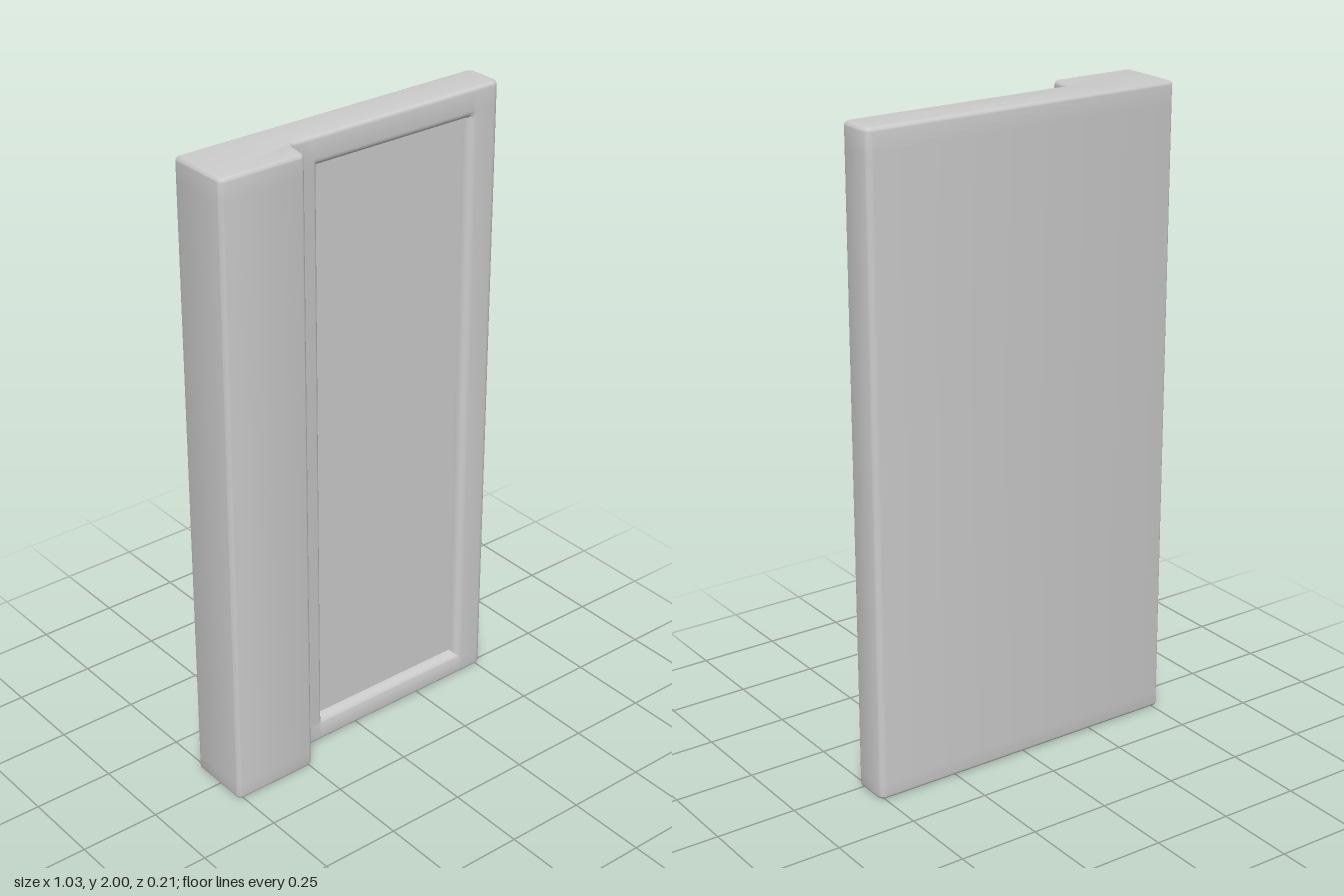
import * as THREE from 'three';
import { toCreasedNormals } from 'three/addons/utils/BufferGeometryUtils.js';

const HEIGHT = 2, EDGE = 0.012, ARC = 5;
// Plan of the body seen from above: x, z, corner radius
const PLAN = [
  [-0.517, -0.104, 0.013], [0.517, -0.104, 0.022], [0.517, 0.022, 0.022],
  [-0.228, 0.022, 0.02], [-0.241, 0.104, 0.02], [-0.517, 0.104, 0.016],
];
// Recessed panel: extent, and its rounded lip as [offset inward, depth]
const PANEL = { x0: -0.132, x1: 0.408, y0: 0.078, y1: 1.908 };
const LIP = [[-0.025, 0], [-0.018, 0.001], [-0.012, 0.004], [-0.006, 0.01], [-0.002, 0.018], [0, 0.034]];

// Depth of the recess at a point of the front face
function recess(x, y) {
  const d = Math.min(x - PANEL.x0, PANEL.x1 - x, y - PANEL.y0, PANEL.y1 - y) + 1e-7;
  let depth = 0;
  for (const [offset, value] of LIP) if (d >= offset) depth = value;
  return depth;
}

// Rounded plan outline, shrunk by an inset
function outline(inset) {
  const corners = PLAN.map(([x, z]) => new THREE.Vector2(x, z));
  const n = corners.length, points = [];
  corners.forEach((p, i) => {
    const d1 = p.clone().sub(corners[(i + n - 1) % n]).normalize();
    const d2 = corners[(i + 1) % n].clone().sub(p).normalize();
    const n1 = new THREE.Vector2(-d1.y, d1.x), n2 = new THREE.Vector2(-d2.y, d2.x);
    const c = p.clone().addScaledVector(n1.clone().add(n2), inset / (1 + n1.dot(n2)));
    const convex = d1.cross(d2) > 0;
    const r = Math.max(PLAN[i][2] + (convex ? -inset : inset), 0.001);
    const angle = Math.acos(d1.dot(d2)), t = r * Math.tan(angle / 2), w = Math.cos(angle / 2);
    const a = c.clone().addScaledVector(d1, -t), b = c.clone().addScaledVector(d2, t);
    for (let k = 0; k <= ARC; k++) {
      const u = k / ARC, ka = (1 - u) ** 2, kc = 2 * w * u * (1 - u), kb = u * u, s = ka + kc + kb;
      points.push({
        x: (a.x * ka + c.x * kc + b.x * kb) / s,
        z: (a.y * ka + c.y * kc + b.y * kb) / s,
      });
    }
    // Extra columns along the front face for the recess
    if (i === 2) {
      for (const [o] of LIP) points.push({ x: PANEL.x1 - o, z: c.y, front: true });
      for (const [o] of [...LIP].reverse()) points.push({ x: PANEL.x0 + o, z: c.y, front: true });
    }
  });
  return points;
}

function bodyGeometry() {
  // Levels: rounded bottom edge, panel lip, rounded top edge
  const levels = [];
  for (let k = 0; k <= 4; k++) {
    const a = (k / 4) * Math.PI / 2;
    levels.push([EDGE * (1 - Math.sin(a + 0)), EDGE * (1 - Math.cos(a))]);
  }
  const rounded = levels.map(([inset, y]) => [inset, y]);
  const rows = [
    ...rounded,
    ...LIP.map(([o]) => [0, PANEL.y0 + o]),
    ...[...LIP].reverse().map(([o]) => [0, PANEL.y1 - o]),
    ...[...rounded].reverse().map(([inset, y]) => [inset, HEIGHT - y]),
  ];
  const rings = rows.map(([inset, y]) => outline(inset).map((p) =>
    [p.x, y, p.front ? p.z - recess(p.x, y) : p.z]));
  const n = rings[0].length, index = [];
  for (let j = 0; j < rings.length - 1; j++) {
    for (let i = 0; i < n; i++) {
      const a = j * n + i, b = j * n + (i + 1) % n, c = b + n, d = a + n;
      index.push(a, d, c, a, c, b);
    }
  }
  // End caps
  const cap = rings[0].map(([x, , z]) => new THREE.Vector2(x, z));
  const top = (rings.length - 1) * n;
  for (const [a, b, c] of THREE.ShapeUtils.triangulateShape(cap, [])) {
    const down = cap[b].clone().sub(cap[a]).cross(cap[c].clone().sub(cap[a])) > 0;
    const [p, q] = down ? [b, c] : [c, b];
    index.push(a, p, q, top + a, top + q, top + p);
  }
  const geometry = new THREE.BufferGeometry();
  geometry.setAttribute('position', new THREE.Float32BufferAttribute(rings.flat(2), 3));
  geometry.setIndex(index);
  return toCreasedNormals(geometry, 0.7);
}

export function createModel() {
  const model = new THREE.Group();
  model.name = 'wallPanel';
  const body = new THREE.Mesh(bodyGeometry(), new THREE.MeshStandardMaterial({ color: 0xcccccc }));
  body.name = 'panelWithPilaster';
  model.add(body);
  return model;
}
